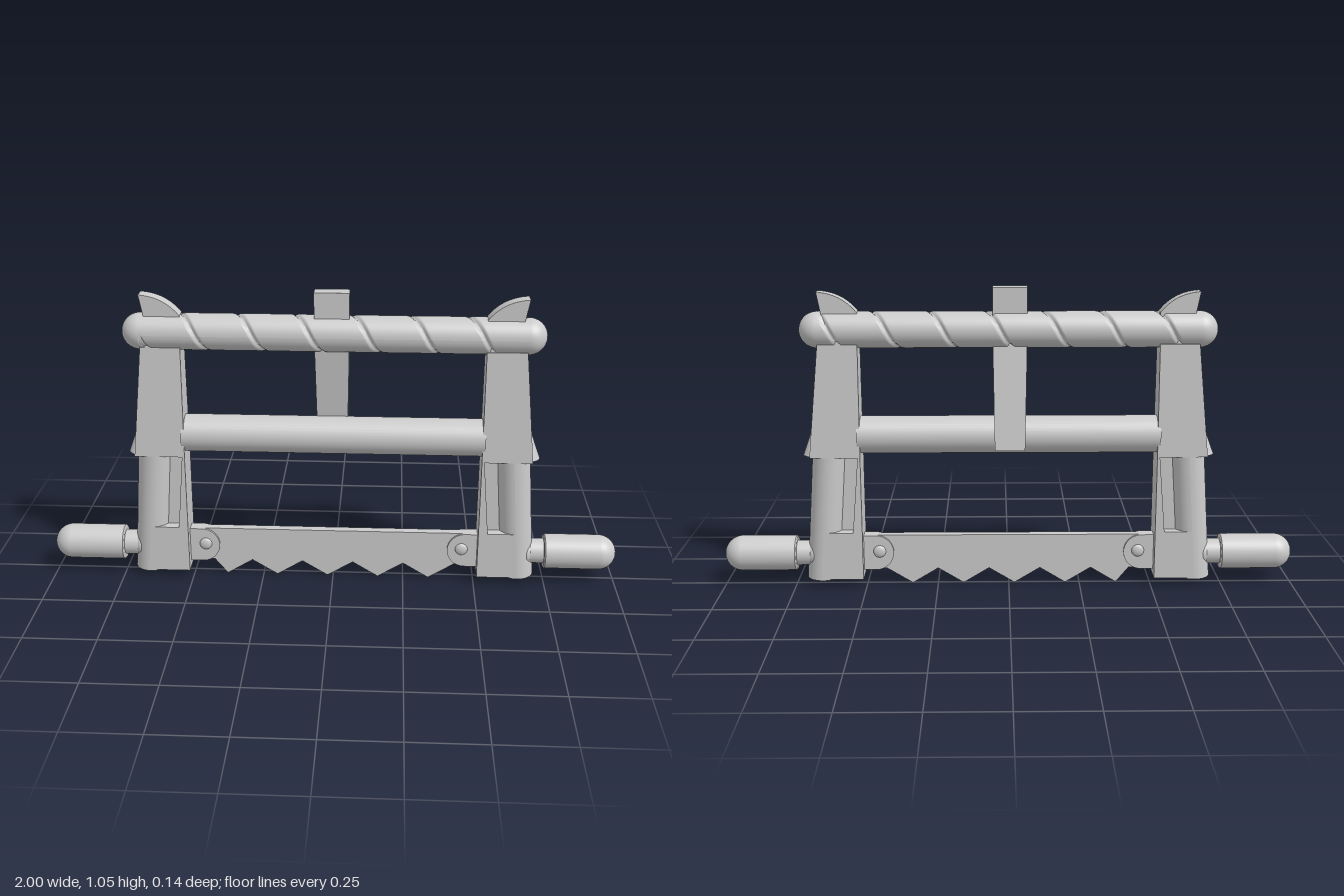
import * as THREE from 'three';

const grey = new THREE.MeshStandardMaterial({ color: 0xcccccc });

function add(parent, name, geometry, x = 0, y = 0, z = 0) {
  const mesh = new THREE.Mesh(geometry, grey);
  mesh.name = name;
  mesh.position.set(x, y, z);
  parent.add(mesh);
  return mesh;
}

// Tapered block: bottom and top are [x0, x1, z0, z1]
function prism(y0, bottom, y1, top) {
  const g = new THREE.BoxGeometry(1, 1, 1);
  const p = g.attributes.position;
  for (let i = 0; i < p.count; i++) {
    const up = p.getY(i) > 0;
    const r = up ? top : bottom;
    p.setXYZ(i, p.getX(i) < 0 ? r[0] : r[1], up ? y1 : y0, p.getZ(i) < 0 ? r[2] : r[3]);
  }
  g.computeVertexNormals();
  return g;
}

// Plate centred on z = 0
function plate(shape, depth) {
  return new THREE.ExtrudeGeometry(shape, { depth, bevelEnabled: false, curveSegments: 20 }).translate(0, 0, -depth / 2);
}

// Round bar with a helical groove, lying along x
function ropeGeometry(radius, length, pitch) {
  const g = new THREE.CylinderGeometry(radius, radius, length, 48, 240, true).rotateZ(-Math.PI / 2);
  const p = g.attributes.position;
  const half = 0.011;
  for (let i = 0; i < p.count; i++) {
    const x = p.getX(i), y = p.getY(i), z = p.getZ(i);
    const phase = x / pitch - Math.atan2(z, y) / (2 * Math.PI) - 0.38;
    const d = Math.abs(phase - Math.round(phase)) * pitch;
    if (d < half && Math.abs(x) < length / 2 - 0.01) {
      const k = 1 - (0.011 * (1 - d / half)) / radius;
      p.setXYZ(i, x, y * k, z * k);
    }
  }
  g.computeVertexNormals();
  return g;
}

// One end of the frame, on the +x side
function createSide() {
  const side = new THREE.Group();

  // Upper sleeve, with a small flared lip on its outer face
  add(side, 'upperPost', prism(0.47, [0.51, 0.683, -0.06, 0.06], 0.86, [0.51, 0.645, -0.045, 0.045]));
  add(side, 'postHead', prism(0.86, [0.515, 0.64, -0.042, 0.042], 0.91, [0.52, 0.635, -0.04, 0.04]));
  add(side, 'sleeveLip', new THREE.CylinderGeometry(0.012, 0.045, 0.09, 32), 0.666, 0.515);

  // Lower post: leaning round bar, its axis sheared outwards
  const bar = new THREE.CylinderGeometry(0.06, 0.06, 0.45, 40);
  bar.applyMatrix4(new THREE.Matrix4().makeShear(0, 0, -0.073, 0, 0, 0));
  const p = bar.attributes.position;
  for (let i = 0; i < p.count; i++) {
    const y = p.getY(i) + 0.25;
    p.setX(i, 0.06 * Math.round(p.getX(i) / 0.06 * 1e6) / 1e6);
    p.setY(i, y);
  }
  // Undo the generic shear and lean by a plain rule instead
  bar.dispose();
  const leaning = new THREE.CylinderGeometry(0.06, 0.06, 0.45, 40);
  const q = leaning.attributes.position;
  for (let i = 0; i < q.count; i++) q.setX(i, q.getX(i) - q.getY(i) * 0.073);
  leaning.computeVertexNormals();
  add(side, 'lowerPost', leaning, 0.636, 0.25);

  // Flat-sided foot, inner wall and thin web around the slot
  add(side, 'foot', prism(0.03, [0.51, 0.652, -0.06, 0.06], 0.2, [0.51, 0.64, -0.06, 0.06]));
  add(side, 'innerWall', prism(0.2, [0.51, 0.542, -0.06, 0.06], 0.48, [0.51, 0.518, -0.06, 0.06]));
  add(side, 'slotWeb', prism(0.19, [0.515, 0.62, -0.025, 0.025], 0.48, [0.512, 0.6, -0.025, 0.025]));

  // Curved wedge above the bar
  const wedge = new THREE.Shape();
  wedge.moveTo(0.51, 0.93);
  wedge.lineTo(0.625, 0.93);
  wedge.lineTo(0.645, 1.035);
  wedge.quadraticCurveTo(0.56, 1.03, 0.51, 0.965);
  add(side, 'wedge', plate(wedge, 0.05));

  // Handle with rounded end
  const profile = [new THREE.Vector2(0, 0), new THREE.Vector2(0.057, 0), new THREE.Vector2(0.0615, 0.004)];
  const neck = new THREE.CylinderGeometry(0.044, 0.044, 0.12, 32).rotateZ(-Math.PI / 2);
  add(side, 'handleNeck', neck, 0.7, 0.11);
  add(side, 'neckCollar', new THREE.SphereGeometry(0.048, 32, 20).scale(0.6, 1, 1), 0.685, 0.11);
  add(side, 'handleBase', new THREE.LatheGeometry(profile, 40).rotateZ(-Math.PI / 2), 0.745, 0.11);
  add(side, 'handleGrip', new THREE.CylinderGeometry(0.0615, 0.0615, 0.19, 40, 1, true).rotateZ(-Math.PI / 2), 0.844, 0.11);
  add(side, 'handleEnd', new THREE.SphereGeometry(0.0615, 40, 24), 0.9385, 0.11);

  // Blade clamp and rivets
  const tab = new THREE.Shape();
  tab.moveTo(0.515, 0.178);
  tab.lineTo(0.468, 0.178);
  tab.absarc(0.468, 0.115, 0.063, Math.PI / 2, Math.PI * 1.5, false);
  tab.lineTo(0.515, 0.052);
  add(side, 'bladeClamp', plate(tab, 0.046));
  for (const z of [-0.023, 0.023]) {
    add(side, 'rivet', new THREE.SphereGeometry(0.022, 24, 16).scale(1, 1, 0.45), 0.455, 0.12, z);
  }
  return side;
}

export function createModel() {
  const saw = new THREE.Group();
  saw.name = 'frameSaw';
  const frame = new THREE.Group();
  frame.name = 'frame';
  frame.position.z = 0.01;
  saw.add(frame);

  const left = createSide();
  left.name = 'leftSide';
  const right = createSide();
  right.name = 'rightSide';
  right.rotation.y = Math.PI;
  frame.add(left, right);

  // Twisted top bar with round ends
  add(frame, 'twistedBar', ropeGeometry(0.062, 1.296, 0.192), 0, 0.905);
  for (const s of [-1, 1]) add(frame, 'barEnd', new THREE.SphereGeometry(0.062, 40, 24), s * 0.648, 0.905);

  // Stretcher
  add(frame, 'stretcher', new THREE.CylinderGeometry(0.065, 0.065, 1.04, 40).rotateZ(Math.PI / 2), 0, 0.54);

  // Toothed blade
  const blade = new THREE.Shape();
  blade.moveTo(-0.515, 0.178);
  blade.lineTo(-0.515, 0.055);
  blade.lineTo(-0.425, 0.055);
  for (let i = 0; i < 5; i++) {
    const x = -0.38 + i * 0.18;
    blade.lineTo(x, 0);
    blade.lineTo(x + 0.09, 0.055);
  }
  blade.lineTo(0.515, 0.055);
  blade.lineTo(0.515, 0.178);
  add(frame, 'blade', plate(blade, 0.03));

  // Tightening paddle, leaning back behind the stretcher
  add(frame, 'paddleTop', prism(0.9, [-0.063, 0.055, -0.025, 0.025], 1.05, [-0.063, 0.055, -0.025, 0.025]));
  add(frame, 'paddle', prism(0.5, [-0.055, 0.048, -0.08, -0.03], 0.9, [-0.063, 0.055, -0.025, 0.025]));
  return saw;
}
